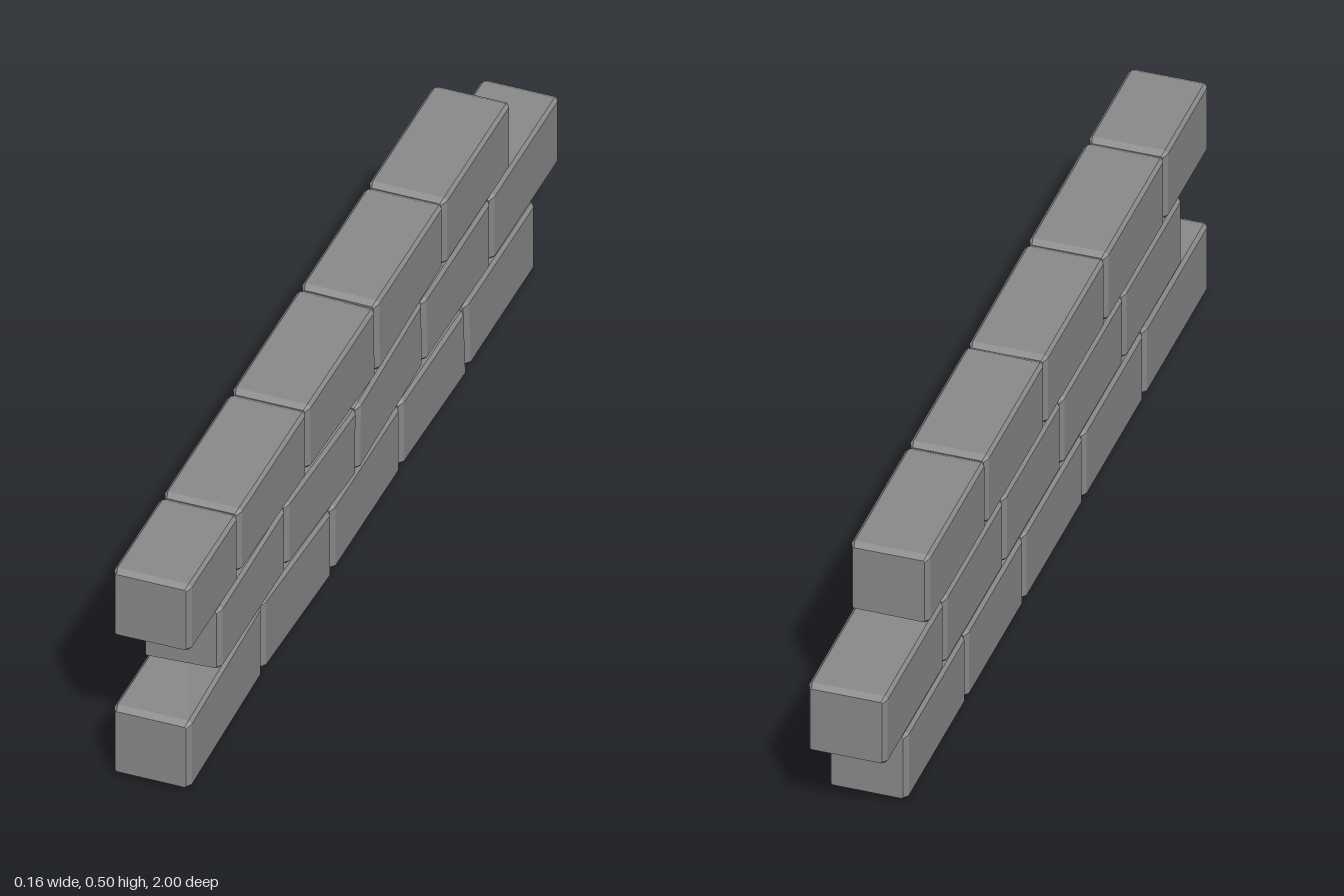
import * as THREE from 'three';

const WIDTH = 0.164;      // wall thickness
const HEIGHT = 0.16;      // nominal brick height
const BEVEL = 0.007;      // chamfer on the long edges
const END_BEVEL = 0.014;  // longer chamfer towards the brick ends
const GAP = 0.001;        // half the joint between neighbours

// The left (+x) face is worn and uneven, the right (-x) face is regular.
// joints: [z at bottom, z at top] on the left face
// bricks: [bottom front, bottom back, top front, top back] heights on the left face
// level: [bottom, top] heights on the right face
const ROWS = [
  {
    name: 'bottomRow',
    level: [0.006, 0.167],
    joints: [[1.001, 1.001], [0.6, 0.6], [0.225, 0.228], [-0.143, -0.143], [-0.505, -0.492], [-0.871, -0.871]],
    bricks: [
      [0.006, 0.022, 0.167, 0.195], [0.025, 0.006, 0.193, 0.166], [0.01, 0.01, 0.167, 0.168],
      [0.012, 0, 0.17, 0.161], [0.007, 0.007, 0.17, 0.167],
    ],
  },
  {
    name: 'middleRow',
    level: [0.177, 0.337],
    joints: [[0.836, 0.836], [0.474, 0.474], [0.093, 0.089], [-0.267, -0.265], [-0.632, -0.632], [-1.001, -1.001]],
    bricks: [
      [0.186, 0.19, 0.335, 0.344], [0.194, 0.163, 0.345, 0.319], [0.163, 0.184, 0.32, 0.341],
      [0.182, 0.174, 0.336, 0.336], [0.178, 0.178, 0.337, 0.337],
    ],
  },
  {
    name: 'topRow',
    level: [0.342, 0.503],
    joints: [[1.001, 1.001], [0.73, 0.73], [0.361, 0.361], [-0.014, -0.009], [-0.375, -0.375], [-0.738, -0.738]],
    bricks: [
      [0.343, 0.343, 0.503, 0.503], [0.353, 0.345, 0.503, 0.503], [0.35, 0.331, 0.503, 0.5],
      [0.331, 0.352, 0.503, 0.503], [0.344, 0.344, 0.503, 0.503],
    ],
  },
];

const { lerp } = THREE.MathUtils;

// Square cross-section of a brick with its corners cut off
function brickSection() {
  const x = WIDTH / 2, y = HEIGHT / 2, b = BEVEL;
  return new THREE.Shape([
    [x, b - y], [x, y - b], [x - b, y], [b - x, y],
    [-x, y - b], [-x, b - y], [b - x, -y], [x - b, -y],
  ].map(([px, py]) => new THREE.Vector2(px, py)));
}

// Brick: a chamfered block whose vertices are blended between its two faces
function makeBrick(front, back, [bottomFront, bottomBack, topFront, topBack], level, material) {
  const frontMean = (front[0] + front[1]) / 2;
  const backMean = (back[0] + back[1]) / 2;
  const length = frontMean - backMean;
  const geometry = new THREE.ExtrudeGeometry(brickSection(), {
    depth: length - 2 * END_BEVEL, bevelEnabled: true, bevelSegments: 1,
    bevelThickness: END_BEVEL, bevelSize: BEVEL, bevelOffset: -BEVEL,
  });
  const position = geometry.attributes.position;
  for (let i = 0; i < position.count; i++) {
    const x = position.getX(i);
    const side = x / WIDTH + 0.5;                            // 0 right, 1 left
    const up = position.getY(i) / HEIGHT + 0.5;              // 0 bottom, 1 top
    const along = (position.getZ(i) + END_BEVEL) / length;   // 0 back, 1 front
    const leftY = lerp(lerp(bottomBack, bottomFront, along), lerp(topBack, topFront, along), up);
    const leftZ = lerp(lerp(back[0], back[1], up) + GAP, lerp(front[0], front[1], up) - GAP, along);
    const rightY = lerp(level[0], level[1], up);
    const rightZ = lerp(backMean + GAP, frontMean - GAP, along);
    position.setXYZ(i, x, lerp(rightY, leftY, side), lerp(rightZ, leftZ, side));
  }
  geometry.computeVertexNormals();
  return new THREE.Mesh(geometry, material);
}

export function createModel() {
  const wall = new THREE.Group();
  wall.name = 'brickWall';
  const material = new THREE.MeshStandardMaterial({ color: 0x8a8a8a, flatShading: true });

  // Three staggered courses of bricks
  for (const { name, level, joints, bricks } of ROWS) {
    const row = new THREE.Group();
    row.name = name;
    bricks.forEach((heights, i) => {
      const brick = makeBrick(joints[i], joints[i + 1], heights, level, material);
      brick.name = `brick${i + 1}`;
      row.add(brick);
    });
    wall.add(row);
  }
  return wall;
}
